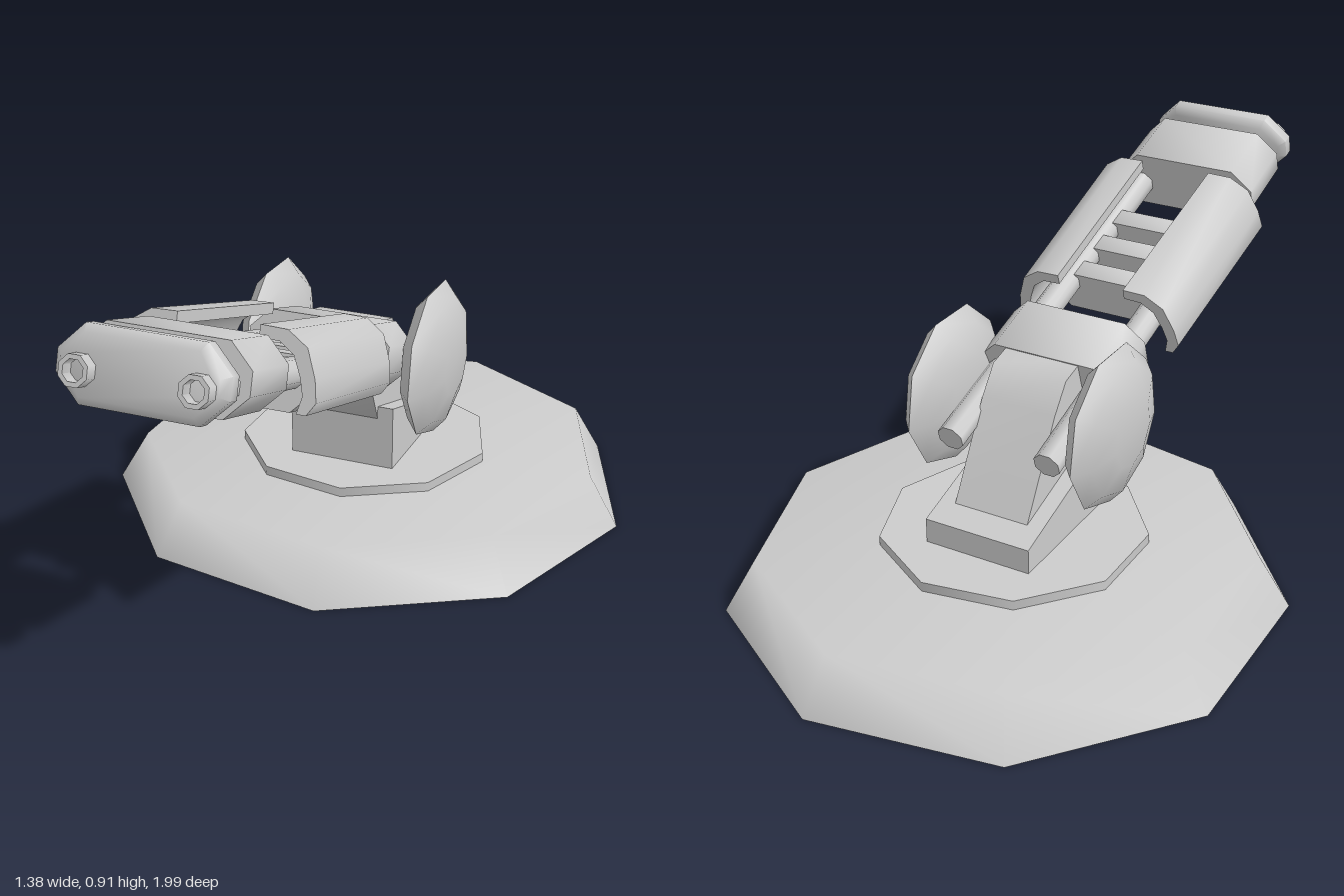
import * as THREE from 'three';
import { toCreasedNormals } from 'three/addons/utils/BufferGeometryUtils.js';

const material = new THREE.MeshStandardMaterial({ color: 0xcccccc, side: THREE.DoubleSide });

function add(parent, name, geometry, x = 0, y = 0, z = 0) {
  const mesh = new THREE.Mesh(geometry, material);
  mesh.name = name;
  mesh.position.set(x, y, z);
  parent.add(mesh);
  return mesh;
}

const points = (list) => list.map(([x, y]) => new THREE.Vector2(x, y));

// Extrudes an outline along z, centred, with rounded sides and crisp ends
function extrude(outline, length, bevel = 0) {
  const geometry = new THREE.ExtrudeGeometry(new THREE.Shape(points(outline)), {
    depth: length - 2 * bevel, bevelEnabled: bevel > 0, bevelSegments: 1,
    bevelSize: bevel, bevelThickness: bevel, bevelOffset: -bevel,
  });
  geometry.translate(0, 0, bevel - length / 2);
  return toCreasedNormals(geometry, 0.95);
}

// Block with cut corners, given by its half width and half height
function cutBlock(w, h, cut, length, bevel = 0) {
  return extrude([
    [w, -h + cut], [w, h - cut], [w - cut, h], [-w + cut, h],
    [-w, h - cut], [-w, -h + cut], [-w + cut, -h], [w - cut, -h],
  ], length, bevel);
}

// Side profile in (z, y), given a width across x
function sideProfile(outline, width) {
  return extrude(outline.map(([z, y]) => [-z, y]), width).rotateY(Math.PI / 2);
}

export function createModel() {
  const model = new THREE.Group();
  model.name = 'turret';
  const cx = -0.025;

  // Nine-sided hollow base and turntable
  add(model, 'base', new THREE.LatheGeometry(
    points([[0.71, 0], [0.63, 0.135], [0, 0.135]]), 9).rotateY(Math.PI / 2), -0.02, 0, -0.295);
  add(model, 'turntable',
    new THREE.CylinderGeometry(0.34, 0.34, 0.03, 9).rotateY(Math.PI / 2), cx, 0.145, -0.27);

  // Pedestal with sloping top, and the leaning neck
  add(model, 'pedestal', sideProfile(
    [[-0.09, 0.15], [-0.09, 0.335], [-0.45, 0.225], [-0.45, 0.15]], 0.29), cx);
  add(model, 'neck', sideProfile(
    [[-0.09, 0.3], [0, 0.5], [-0.11, 0.57], [-0.19, 0.55], [-0.245, 0.48], [-0.385, 0.24]], 0.205), cx);

  // Lens-shaped side shields
  const lens = [[0, -0.06], [0.09, -0.06], [0.17, -0.035], [0.21, 0], [0.17, 0.035], [0.09, 0.06], [0, 0.06]];
  for (const side of [-1, 1]) {
    const shield = new THREE.LatheGeometry(points(lens), 9).rotateZ(Math.PI / 2).rotateX(Math.PI / 2);
    add(model, side > 0 ? 'leftShield' : 'rightShield', toCreasedNormals(shield, 0.95),
      cx + side * 0.225, 0.455, -0.185);
  }

  // Raised gun, built along its own z axis
  const gun = new THREE.Group();
  gun.name = 'gun';
  gun.position.set(-0.03, 0.52, 0);
  gun.rotation.x = -0.31;
  model.add(gun);

  add(gun, 'breech', cutBlock(0.19, 0.085, 0.05, 0.175), 0, 0, -0.023);
  add(gun, 'muzzleBlock', cutBlock(0.198, 0.082, 0.055, 0.185), -0.005, 0.012, 0.8);
  add(gun, 'muzzleCollar', cutBlock(0.198, 0.085, 0.06, 0.065, 0.018), -0.005, 0.01, 0.97);
  for (const z of [0.285, 0.4, 0.515]) {
    add(gun, 'crossBar', cutBlock(0.185, 0.058, 0.045, 0.06), 0, -0.032, z);
  }

  const barrel = [[0, -0.37], [0.036, -0.37], [0.036, 1.035], [0.025, 1.035], [0.025, 0.97], [0, 0.97]];
  const plate = [
    [0.1, 0.09], [0.165, 0.088], [0.215, 0.055], [0.24, -0.01], [0.248, -0.06], [0.228, -0.09],
    [0.205, -0.09], [0.215, -0.05], [0.205, -0.01], [0.185, 0.035], [0.15, 0.06], [0.1, 0.062],
  ];
  for (const side of [-1, 1]) {
    const label = side > 0 ? 'left' : 'right';

    // Hollow-ended barrels
    const tube = new THREE.LatheGeometry(points(barrel), 8).rotateY(Math.PI / 8).rotateX(Math.PI / 2);
    add(gun, label + 'Barrel', toCreasedNormals(tube, 0.95), side * 0.135);

    // Curved armour, slightly narrower at the rear
    const armour = extrude(plate.map(([x, y]) => [side * x, y]), 0.515);
    const p = armour.attributes.position;
    for (let i = 0; i < p.count; i++) {
      if (p.getZ(i) < 0) p.setX(i, p.getX(i) * 0.94);
    }
    add(gun, label + 'Armour', armour, 0, 0.02, 0.41);
  }
  return model;
}
